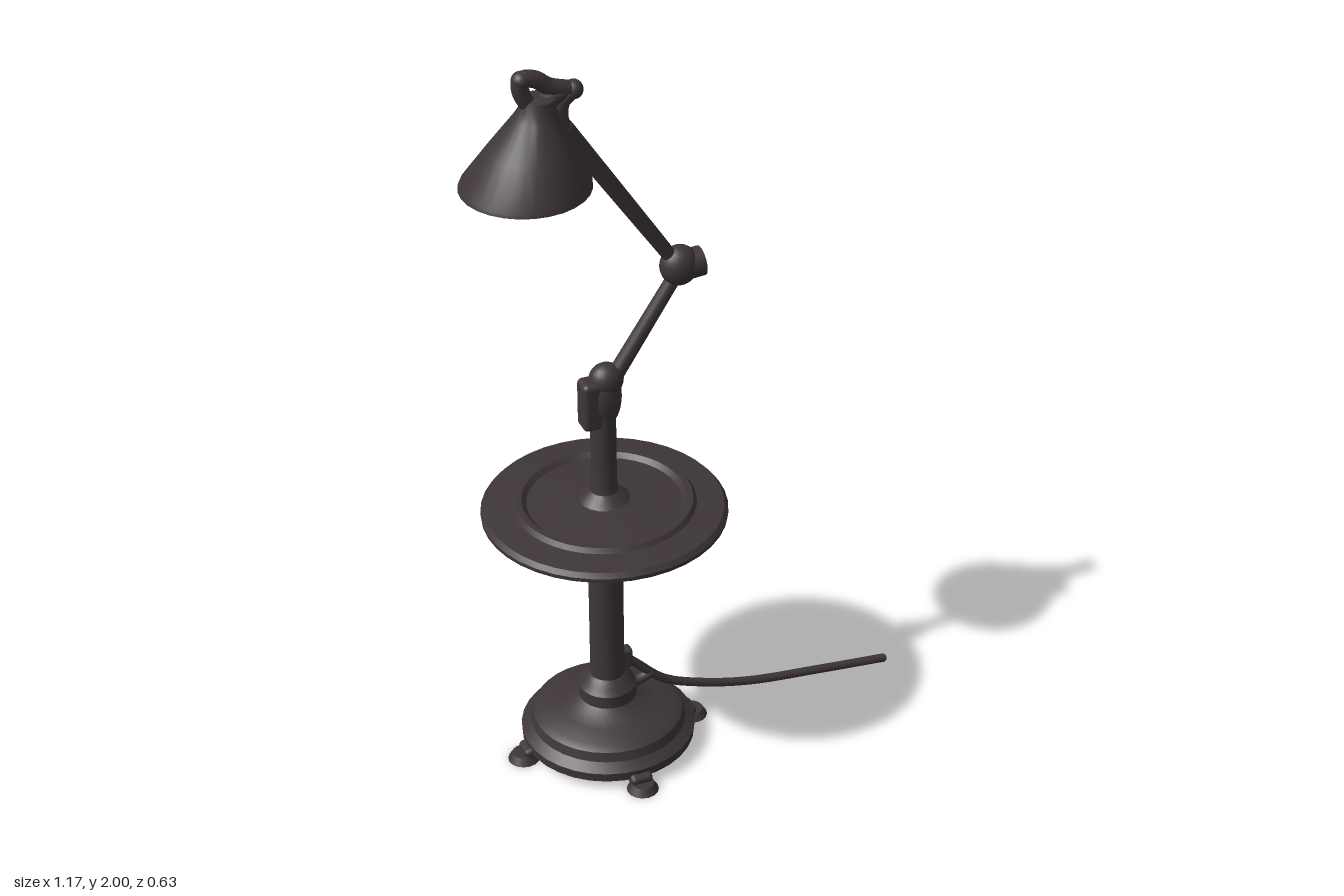
import * as THREE from 'three';
import { toCreasedNormals } from 'three/addons/utils/BufferGeometryUtils.js';
import { RoundedBoxGeometry } from 'three/addons/geometries/RoundedBoxGeometry.js';

const CX = -0.24; // x of the main column

export function createModel() {
  const model = new THREE.Group();
  model.name = 'tableLamp';
  const iron = new THREE.MeshStandardMaterial({ color: 0x3e3636, side: THREE.DoubleSide });
  iron.name = 'dark iron';

  const add = (name, geometry, x = 0, y = 0, z = 0) => {
    const mesh = new THREE.Mesh(geometry, iron);
    mesh.name = name;
    mesh.position.set(x, y, z);
    model.add(mesh);
    return mesh;
  };
  const lathe = (name, points, sides = 32, x = CX) => add(name, toCreasedNormals(
    new THREE.LatheGeometry(points.map(p => new THREE.Vector2(...p)), sides), 0.6), x);
  const tube = (name, points, radius, segments = 24) => add(name, new THREE.TubeGeometry(
    new THREE.CatmullRomCurve3(points.map(p => new THREE.Vector3(p[0], p[1], p[2] || 0))), segments, radius, 10));
  // straight rod between two points in the x-y plane
  const rod = (name, a, b, r0, r1) => {
    const dx = b[0] - a[0], dy = b[1] - a[1];
    const mesh = add(name, new THREE.CylinderGeometry(r1, r0, Math.hypot(dx, dy), 14),
      (a[0] + b[0]) / 2, (a[1] + b[1]) / 2);
    mesh.rotation.z = Math.atan2(-dx, dy);
    return mesh;
  };
  const ball = (name, x, y, sx, sy, sz) => {
    const mesh = add(name, new THREE.SphereGeometry(1, 20, 14), x, y);
    mesh.scale.set(sx, sy, sz);
    return mesh;
  };

  // Stepped base and its collar
  lathe('base', [[0, 0.025], [0.2, 0.025], [0.228, 0.03], [0.23, 0.055], [0.205, 0.075], [0.198, 0.1],
    [0.18, 0.113], [0.13, 0.122], [0.09, 0.14], [0.076, 0.15], [0.076, 0.185], [0.062, 0.2],
    [0.052, 0.215], [0.045, 0.22]]);

  // Four splayed feet
  for (let i = 0; i < 4; i++) {
    const foot = new THREE.Group();
    foot.name = 'foot' + (i + 1);
    foot.position.x = CX;
    foot.rotation.y = i * Math.PI / 2;
    const toe = new THREE.Mesh(new THREE.CylinderGeometry(0.03, 0.042, 0.02, 16), iron);
    toe.name = 'toe';
    toe.position.set(0.24, 0.012, 0);
    const leg = new THREE.Mesh(new RoundedBoxGeometry(0.09, 0.035, 0.06, 2, 0.012), iron);
    leg.name = 'footBracket';
    leg.position.set(0.2, 0.032, 0);
    leg.rotation.z = -0.25;
    foot.add(toe, leg);
    model.add(foot);
  }

  // Lower and upper columns
  lathe('lowerColumn', [[0.047, 0.18], [0.045, 0.3], [0.045, 0.6], [0.052, 0.61], [0.052, 0.64]], 20);
  lathe('upperColumn', [[0.07, 0.765], [0.055, 0.78], [0.036, 0.795], [0.033, 0.82], [0.033, 1.12]], 20);

  // Table with raised rim and shallow centre
  lathe('tableTop', [[0.1, 0.715], [0.24, 0.718], [0.298, 0.717], [0.314, 0.727], [0.315, 0.738], [0.305, 0.75],
    [0.235, 0.757], [0.226, 0.769], [0.21, 0.769], [0.198, 0.757], [0.12, 0.76], [0.06, 0.77], [0, 0.77]], 40);

  // Hub and brackets below the table
  lathe('tableHub', [[0.045, 0.6], [0.06, 0.63], [0.088, 0.645], [0.1, 0.685], [0.122, 0.7], [0.125, 0.722]], 12);
  for (let i = 0; i < 4; i++) {
    const a = i * Math.PI / 2;
    const rib = add('hubBracket' + (i + 1), new RoundedBoxGeometry(0.05, 0.075, 0.05, 2, 0.01),
      CX + Math.cos(a) * 0.085, 0.682, -Math.sin(a) * 0.085);
    rib.rotation.y = a;
  }

  // Clamp and knuckle at the column head
  add('clampBlock', new RoundedBoxGeometry(0.075, 0.135, 0.06, 3, 0.014), -0.262, 1.057);
  ball('clampBody', -0.235, 1.07, 0.044, 0.085, 0.04);
  ball('clampKnuckle', -0.23, 1.118, 0.045, 0.045, 0.04);

  // Jointed arm
  rod('lowerArm', [-0.215, 1.11], [-0.035, 1.385], 0.021, 0.018);
  ball('elbow', -0.033, 1.4, 0.05, 0.053, 0.043);
  rod('elbowCap', [-0.03, 1.395], [0.027, 1.4], 0.038, 0.038);
  rod('upperArm', [-0.04, 1.405], [-0.325, 1.835], 0.018, 0.024);
  tube('armNeck', [[-0.315, 1.815], [-0.335, 1.86], [-0.33, 1.905], [-0.305, 1.928]], 0.022, 12);

  // Conical shade, leaning slightly towards the arm
  const cone = new THREE.LatheGeometry([[0.15, 1.706], [0.16, 1.7], [0.158, 1.71], [0.105, 1.8], [0.055, 1.88],
    [0.045, 1.9], [0.04, 1.925], [0, 1.935]].map(p => new THREE.Vector2(...p)), 28);
  const pos = cone.attributes.position;
  for (let i = 0; i < pos.count; i++) pos.setX(i, pos.getX(i) + (pos.getY(i) - 1.7) * 0.18);
  add('shade', toCreasedNormals(cone, 0.6), -0.425);

  // Looped handle and adjusting knob above the shade
  tube('handleLoop', [[-0.405, 1.9], [-0.428, 1.945], [-0.428, 1.978], [-0.395, 1.975], [-0.36, 1.95],
    [-0.305, 1.932]], 0.021, 30);
  ball('handleTip', -0.428, 1.978, 0.023, 0.022, 0.024);
  rod('handleBrace', [-0.375, 1.91], [-0.32, 1.93], 0.026, 0.02);
  ball('handleKnob', -0.298, 1.931, 0.023, 0.024, 0.025);

  // Power cord with its outlet on the column
  add('cordOutlet', new RoundedBoxGeometry(0.045, 0.06, 0.035, 2, 0.01), -0.195, 0.25);
  tube('cord', [[-0.2, 0.26], [-0.155, 0.215], [-0.08, 0.145], [0.03, 0.098], [0.17, 0.062], [0.38, 0.038],
    [0.572, 0.019]], 0.012, 48);
  tube('cordBranch', [[-0.2, 0.16], [-0.15, 0.163], [-0.115, 0.178]], 0.014, 10);
  ball('cordEnd', 0.57, 0.019, 0.012, 0.012, 0.012);

  return model;
}
